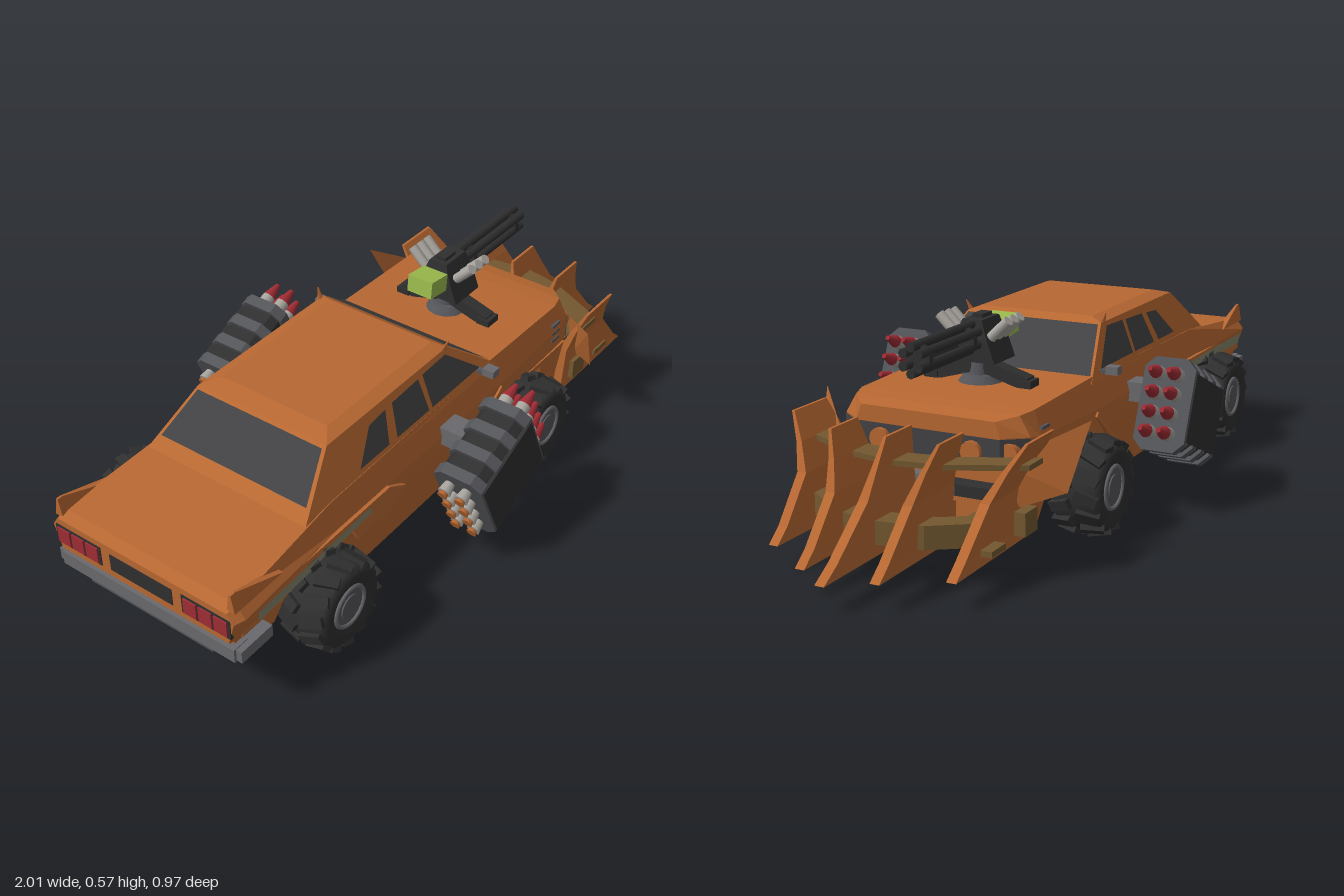
import * as THREE from 'three';

const mat = (name, color, side = THREE.FrontSide) => {
  const m = new THREE.MeshStandardMaterial({ color, side });
  m.name = name;
  return m;
};

export function createModel() {
  const orange = mat('rust orange', 0xb86832, THREE.DoubleSide);
  const glass = mat('dark glass', 0x424244, THREE.DoubleSide);
  const black = mat('rubber black', 0x2f2f30);
  const steel = mat('gunmetal', 0x545559);
  const grey = mat('grey', 0x6a6a6e);
  const silver = mat('silver', 0xa8a49e);
  const brown = mat('brown steel', 0x735830);
  const red = mat('red', 0xa02c34);
  const green = mat('green', 0x9aba4c);
  const stripe = mat('stripe', 0x84856c, THREE.DoubleSide);
  const root = new THREE.Group();
  root.name = 'armedCar';

  // Helpers
  const add = (name, geo, m, p = [0, 0, 0], r = [0, 0, 0], parent = root) => {
    const o = new THREE.Mesh(geo, m);
    o.name = name;
    o.position.set(...p);
    o.rotation.set(...r);
    parent.add(o);
    return o;
  };
  const box = (name, m, size, p, r, parent) => add(name, new THREE.BoxGeometry(...size), m, p, r, parent);
  const cyl = (name, m, r1, r2, len, p, rot, parent, n = 10) =>
    add(name, new THREE.CylinderGeometry(r1, r2, len, n), m, p, rot, parent);
  const group = (name, p = [0, 0, 0], r = [0, 0, 0]) => {
    const g = new THREE.Group();
    g.name = name;
    g.position.set(...p);
    g.rotation.set(...r);
    root.add(g);
    return g;
  };
  const fromTris = (pos) => {
    const g = new THREE.BufferGeometry();
    g.setAttribute('position', new THREE.Float32BufferAttribute(pos, 3));
    g.computeVertexNormals();
    return g;
  };
  // Skin over matching rings with both ends capped
  const loft = (rings) => {
    const pos = [], n = rings[0].length, first = rings[0], last = rings[rings.length - 1];
    for (let i = 0; i < rings.length - 1; i++) for (let j = 0; j < n; j++) {
      const k = (j + 1) % n, a = rings[i][j], b = rings[i][k], c = rings[i + 1][k], d = rings[i + 1][j];
      pos.push(...a, ...b, ...c, ...a, ...c, ...d);
    }
    for (let j = 1; j < n - 1; j++) {
      pos.push(...last[0], ...last[j], ...last[j + 1], ...first[0], ...first[j + 1], ...first[j]);
    }
    return fromTris(pos);
  };
  // Flat plate with s = +1 or -1 choosing the facing
  const poly = (pts, s = 1) => {
    const q = s > 0 ? pts : [...pts].reverse(), pos = [];
    for (let j = 1; j < q.length - 1; j++) pos.push(...q[0], ...q[j], ...q[j + 1]);
    return fromTris(pos);
  };
  const shape = (pts) => new THREE.Shape(pts.map((p) => new THREE.Vector2(...p)));

  // Lower body with wheel cut-outs, nearly upright sills
  const lower = new THREE.ExtrudeGeometry(shape([
    [-0.98, 0.24], [-0.98, 0.21], [-0.83, 0.16], [-0.8, 0.22], [-0.56, 0.22], [-0.53, 0.15], [-0.5, 0.075],
    [0.05, 0.075], [0.08, 0.15], [0.11, 0.22], [0.36, 0.22], [0.39, 0.15], [0.42, 0.075], [0.49, 0.075], [0.49, 0.24],
  ]), { depth: 2, bevelEnabled: false });
  const lp = lower.attributes.position;
  for (let i = 0; i < lp.count; i++) {
    lp.setZ(i, (lp.getZ(i) - 1) * (0.243 + 0.027 * (lp.getY(i) - 0.075) / 0.165));
  }
  lower.computeVertexNormals();
  add('lowerBody', lower, orange);
  const floorRing = (x, y, z) => [[x, 0.235, z], [x, y, z], [x, y, -z], [x, 0.235, -z]];
  add('floor', loft([floorRing(-0.96, 0.195, 0.23), floorRing(-0.82, 0.145, 0.2), floorRing(-0.5, 0.071, 0.16),
    floorRing(0.46, 0.071, 0.16)]), black);

  // Upper body: x, bottom y, shoulder y, top y, then the half widths
  add('upperBody', loft([
    [-1, 0.24, 0.31, 0.335, 0.27, 0.29, 0.27], [-0.97, 0.24, 0.31, 0.345, 0.28, 0.3, 0.275],
    [-0.6, 0.24, 0.3, 0.375, 0.27, 0.275, 0.255], [0.11, 0.24, 0.3, 0.382, 0.27, 0.275, 0.25],
    [0.45, 0.24, 0.31, 0.375, 0.265, 0.27, 0.25], [0.5, 0.24, 0.32, 0.37, 0.262, 0.265, 0.235],
    [0.545, 0.24, 0.32, 0.36, 0.2, 0.205, 0.19],
  ].map(([x, b, s, t, wb, w, wt]) =>
    [[x, t, wt], [x, s, w], [x, b, wb], [x, b, -wb], [x, s, -w], [x, t, -wt]])), orange);

  // Cabin and nearly flat roof
  const ring = (y, x0, x1, z) => [[x0, y, z], [x1, y, z], [x1, y, -z], [x0, y, -z]];
  add('cabin', loft([ring(0.365, -0.7, 0.13, 0.257), ring(0.495, -0.55, -0.04, 0.207),
    ring(0.508, -0.5, -0.06, 0.17)]), orange);
  const visorX = (y) => 0.13 - (y - 0.365) * 1.308 + 0.004;
  const backX = (y) => -0.7 + (y - 0.365) * 1.154 - 0.004;
  const end = (fx, z0, z1, y0, y1) => [[fx(y0), y0, z0], [fx(y0), y0, -z0], [fx(y1), y1, -z1], [fx(y1), y1, z1]];
  add('windshield', poly(end(visorX, 0.244, 0.201, 0.383, 0.492)), glass);
  add('rearWindow', poly(end(backX, 0.235, 0.2, 0.396, 0.49), -1), glass);
  const sideZ = (y) => 0.257 - (y - 0.365) * 0.385 + 0.004;
  const windows = [
    [[-0.475, 0.392], [-0.355, 0.392], [-0.33, 0.473], [-0.4, 0.468]],
    [[-0.32, 0.392], [-0.18, 0.392], [-0.185, 0.48], [-0.3, 0.476]],
    [[-0.165, 0.392], [0.055, 0.392], [-0.06, 0.485], [-0.165, 0.482]],
  ];

  // Everything repeated on both flanks
  for (const s of [1, -1]) {
    windows.forEach((w) => add('sideWindow', poly(w.map(([x, y]) => [x, y, s * sideZ(y)]), s), glass));
    add('tailFin', loft([ring(0.335, -0.99, -0.82, 0.012), ring(0.388, -0.99, -0.975, 0.003)]), orange, [0, 0, s * 0.275]);
    const spike = cyl('roofSpike', orange, 0.002, 0.02, 0.055, [-0.055, 0.498, s * 0.207], [s * 0.4, 0, -0.25], root, 4);
    spike.scale.z = 0.6;
    box('mirrorArm', steel, [0.015, 0.012, 0.06], [0.05, 0.385, s * 0.265]);
    box('mirror', grey, [0.03, 0.022, 0.035], [0.055, 0.393, s * 0.287]);
    // Flank trim
    add('flankPanel', new THREE.ExtrudeGeometry(shape([[-0.97, 0.3], [-0.97, 0.245], [-0.83, 0.245], [-0.8, 0.28],
      [-0.56, 0.28], [-0.53, 0.22], [-0.4, 0.22], [-0.33, 0.26], [-0.4, 0.3]]), { depth: 0.012, bevelEnabled: false }),
    orange, [0, 0, s * 0.279 - 0.006]);
    add('flankStripe', poly([[-0.93, 0.272, s * 0.301], [-0.48, 0.272, s * 0.287], [-0.48, 0.292, s * 0.287],
      [-0.93, 0.304, s * 0.304]], s), stripe);
    box('fenderBrace', orange, [0.17, 0.015, 0.015], [0.07, 0.235, s * 0.272], [0, 0, 0.68]);
    for (let i = 0; i < 3; i++) box('fenderVent', steel, [0.04, 0.008, 0.008], [0.43, 0.28 + i * 0.025, s * 0.268]);
    // Tail lamps in dark housings
    box('tailLampHousing', black, [0.008, 0.058, 0.15], [-0.998, 0.288, s * 0.205]);
    for (let i = 0; i < 3; i++) box('tailLamp', red, [0.014, 0.046, 0.04], [-0.999, 0.288, s * (0.158 + i * 0.047)]);
    box('rearBumperEnd', grey, [0.11, 0.035, 0.03], [-0.935, 0.2, s * 0.282]);
    // Head lamps
    for (const [x, z] of [[0.53, 0.222], [0.55, 0.13]]) {
      cyl('headLamp', orange, 0.028, 0.028, 0.024, [x, 0.28, s * z], [0, 0, Math.PI / 2], root, 12);
    }
  }
  box('tailPanel', black, [0.008, 0.05, 0.2], [-0.998, 0.288, 0]);
  box('rearBumper', grey, [0.05, 0.04, 0.56], [-0.972, 0.2, 0]);
  box('rearBumperGuard', steel, [0.07, 0.03, 0.4], [-0.95, 0.17, 0]);

  // Nose: wraparound grille, bumper and plate
  const nose = [[0.502, 0.266], [0.549, 0.205], [0.549, -0.205], [0.502, -0.266]];
  for (let i = 0; i < 3; i++) {
    const [a, b] = [nose[i], nose[i + 1]];
    add('grille', poly([[a[0], 0.245, a[1]], [b[0], 0.245, b[1]], [b[0], 0.318, b[1]], [a[0], 0.318, a[1]]]), glass);
  }
  box('noseBumper', black, [0.06, 0.03, 0.5], [0.51, 0.17, 0]);
  box('nosePlate', grey, [0.03, 0.05, 0.15], [0.555, 0.183, 0]);
  box('towBlock', orange, [0.1, 0.05, 0.11], [0.55, 0.105, 0]);

  // Wheels with two rows of slanted tread blocks
  const tyreProfile = [[0.06, -0.06], [0.095, -0.072], [0.114, -0.058], [0.122, 0], [0.114, 0.058], [0.095, 0.072], [0.06, 0.06]];
  for (const [wx, wy] of [[-0.68, 0.158], [0.235, 0.131]]) for (const s of [1, -1]) {
    const w = group('wheel', [wx, wy, s * 0.309]);
    add('tyre', new THREE.LatheGeometry(tyreProfile.map((p) => new THREE.Vector2(...p)), 24), black, [0, 0, 0], [Math.PI / 2, 0, 0], w);
    cyl('rim', steel, 0.062, 0.062, 0.122, [0, 0, 0], [Math.PI / 2, 0, 0], w, 20);
    add('rimRing', new THREE.TorusGeometry(0.056, 0.006, 6, 20), grey, [0, 0, s * 0.061], [0, 0, 0], w);
    cyl('hub', steel, 0.035, 0.035, 0.13, [0, 0, 0], [Math.PI / 2, 0, 0], w, 12);
    for (let i = 0; i < 28; i++) {
      const side = i % 2 ? 1 : -1, a = (i / 28) * Math.PI * 2;
      const t = box('tread', black, [0.02, 0.028, 0.062], [Math.cos(a) * 0.118, Math.sin(a) * 0.118, side * 0.035], [0, 0, a], w);
      t.rotateX(side * 0.35);
      t.rotateY(-side * 0.2);
    }
  }
  for (const x of [-0.68, 0.235]) cyl('axle', steel, 0.02, 0.02, 0.56, [x, 0.14, 0], [Math.PI / 2, 0, 0]);

  // Rocket pods: eight-sided casing with bands, two columns of four rockets
  const podRing = (x, h, w, c) => [[x, h, w - c], [x, h - c, w], [x, c - h, w], [x, -h, w - c],
    [x, -h, c - w], [x, c - h, -w], [x, h - c, -w], [x, h, c - w]];
  const prism = (x0, x1, h, w, c) => loft([podRing(x0, h, w, c), podRing(x1, h, w, c)]);
  for (const s of [1, -1]) {
    const pod = group('rocketPod', [-0.125, 0.248, s * 0.408], [0, 0, 0.41]);
    add('podCasing', prism(-0.12, 0.12, 0.115, 0.064, 0.02), black, [0, 0, 0], [0, 0, 0], pod);
    for (const [x, h] of [[-0.109, 0.016], [-0.036, 0.016], [0.036, 0.016], [0.109, 0.016]]) {
      add('podBand', prism(x - h, x + h, 0.128, 0.073, 0.028), steel, [0, 0, 0], [0, 0, 0], pod);
    }
    box('podSidePlate', black, [0.236, 0.185, 0.012], [0, 0, s * 0.07], [0, 0, 0], pod);
    for (let i = 0; i < 8; i++) {
      const y = -0.08 + (i >> 1) * 0.0535, z = (i % 2 ? 1 : -1) * 0.026, q = [0, 0, -Math.PI / 2];
      cyl('rocketBody', silver, 0.019, 0.019, 0.04, [0.14, y, z], q, pod);
      cyl('rocketTip', red, 0.007, 0.019, 0.046, [0.183, y, z], q, pod);
      cyl('rocketNozzle', silver, 0.013, 0.019, 0.034, [-0.138, y, z], q, pod);
      cyl('nozzleThroat', orange, 0.011, 0.015, 0.014, [-0.158, y, z], q, pod);
    }
    box('podArm', grey, [0.07, 0.055, 0.1], [-0.12, 0.3, s * 0.305]);
  }

  // Hood turret
  const gun = group('turret', [0.265, 0, 0]);
  cyl('turretBase', steel, 0.045, 0.06, 0.02, [0, 0.39, 0], [0, 0, 0], gun, 12);
  cyl('turretPost', steel, 0.022, 0.032, 0.06, [0, 0.425, 0], [0, 0, 0], gun);
  for (const s of [1, -1]) {
    box('turretLeg', black, [0.04, 0.035, 0.13], [0, 0.405, s * 0.08], [s * 0.28, 0, 0], gun);
    box('turretFoot', black, [0.05, 0.02, 0.04], [0, 0.388, s * 0.138], [0, 0, 0], gun);
    for (let i = 0; i < 3; i++) {
      cyl('smokeTube', silver, 0.014, 0.014, 0.07, [-0.03 + i * 0.033, 0.53, s * 0.076], [s * 0.8, 0, 0], gun);
    }
  }
  add('gunHousing', loft([ring(0.44, -0.06, 0.055, 0.07), ring(0.5, -0.06, 0.055, 0.048),
    ring(0.55, -0.05, 0.045, 0.028)]), black, [0, 0, 0], [0, 0, 0], gun);
  box('gunSight', black, [0.05, 0.02, 0.03], [-0.01, 0.55, 0], [0, 0, 0], gun);
  box('ammoBox', green, [0.075, 0.05, 0.08], [-0.1, 0.51, 0], [0, 0, -0.12], gun);
  for (let i = 0; i < 6; i++) {
    const a = (i + 0.5) * Math.PI / 3;
    cyl('barrel', black, 0.0125, 0.0125, 0.31, [0.195, 0.505 + Math.sin(a) * 0.033, Math.cos(a) * 0.025], [0, 0, Math.PI / 2], gun, 8);
  }
  for (const x of [0.09, 0.31]) cyl('barrelClamp', black, 0.036, 0.036, 0.018, [x, 0.505, 0], [0, 0, Math.PI / 2], gun, 12);

  // Plough blades: foot z, top z, tip x, back x, top front x
  for (const [z0, z1, tip, back, top] of [[0.263, 0.33, 0.835, 0.48, 0.64], [0.115, 0.155, 0.935, 0.6, 0.735],
    [0.015, 0, 1, 0.6, 0.735], [-0.09, -0.145, 0.935, 0.6, 0.735], [-0.24, -0.325, 0.85, 0.48, 0.64]]) {
    const rows = [[0.065, 0, 0.013, 0], [0.1, 0.21, 0.013, 0], [0.21, 0.7, 0.013, 0.1], [0.28, 0.86, 0.008, 0.5], [0.348, 1, 0.004, 1]];
    add('ploughBlade', loft(rows.map(([y, cut, t, k]) => {
      const z = z0 + (z1 - z0) * k, xb = back + k * 0.02, xf = tip - cut * (tip - top);
      return [[xb, y, z + t], [xf, y, z + t], [xf, y, z - t], [xb, y, z - t]];
    })), orange);
  }
  // Bent plough bars: y, height, depth, middle x, end x, half span
  for (const [y, h, d, xm, xe, w] of [[0.125, 0.06, 0.07, 0.73, 0.64, 0.25], [0.275, 0.014, 0.07, 0.65, 0.56, 0.31]]) {
    const bar = [[xe, -w], [xm, -0.12], [xm + 0.02, 0], [xm, 0.12], [xe, w]];
    add('ploughBar', loft(bar.map(([x, z]) =>
      [[x - d / 2, y - h / 2, z], [x + d / 2, y - h / 2, z], [x + d / 2, y + h / 2, z], [x - d / 2, y + h / 2, z]])), brown);
  }
  for (const s of [1, -1]) {
    box('ploughArm', brown, [0.22, 0.04, 0.035], [0.57, 0.125, s * 0.18]);
    box('ploughBracket', brown, [0.065, 0.06, 0.03], [0.55, 0.125, s * 0.277]);
    box('ploughPatch', brown, [0.07, 0.015, 0.03], [0.7, 0.1, s * 0.268]);
    // Swept side wing
    add('ploughWing', poly([[0.41, 0.355, s * 0.385], [0.49, 0.19, s * 0.36], [0.56, 0.16, s * 0.265], [0.58, 0.27, s * 0.22]], s), orange);
  }
  return root;
}
